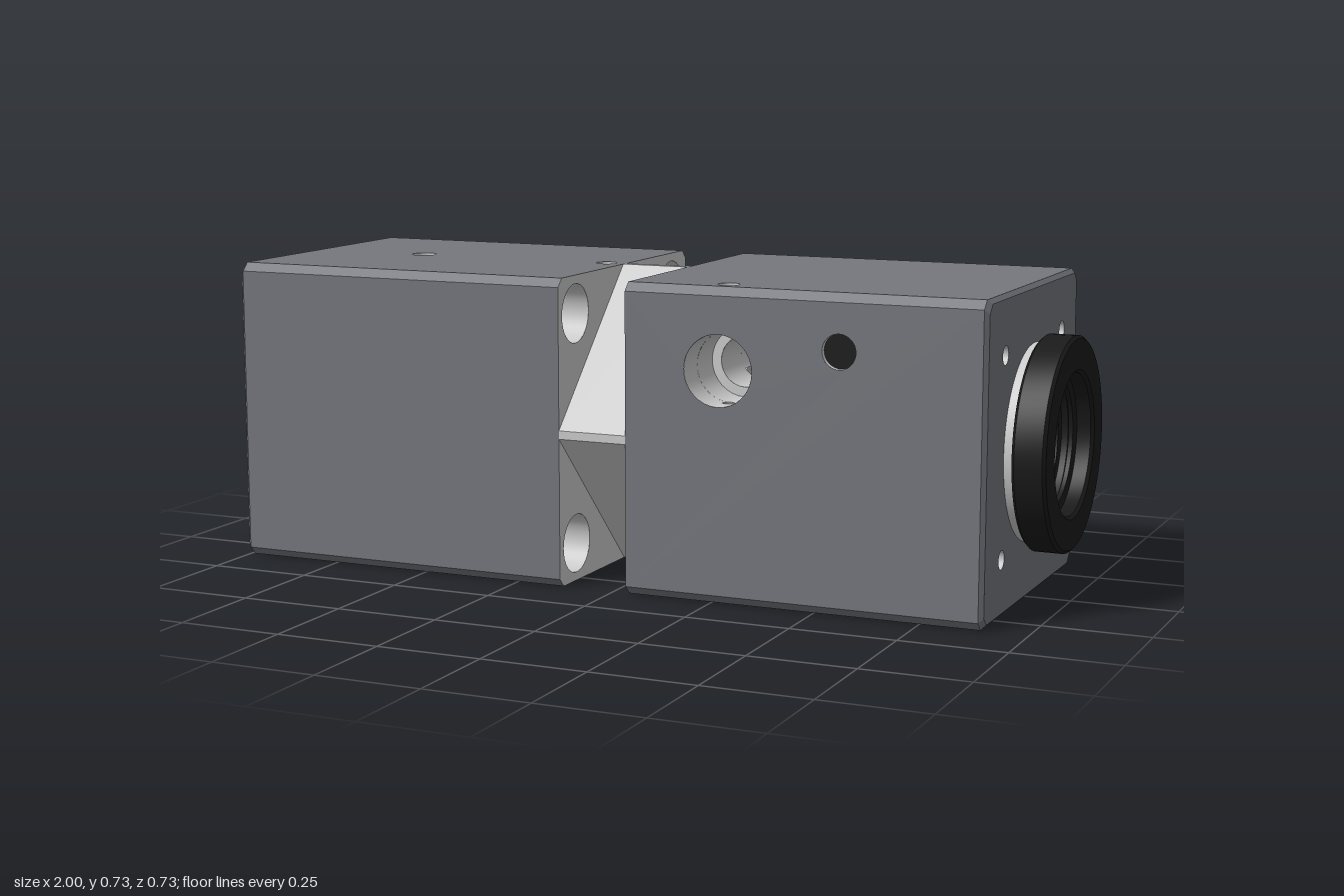
import * as THREE from 'three';
import { toCreasedNormals } from 'three/addons/utils/BufferGeometryUtils.js';

const H = 0.365;      // half width of the square housings
const C = 0.02;       // chamfer on the long edges
const BORE = 0.14;    // central bore radius
const PI = Math.PI;

const paint = (color) => new THREE.MeshStandardMaterial({ color, side: THREE.DoubleSide });
const dark = paint(0x75777d);
const light = paint(0xcccccc);
const black = paint(0x1a1a1a);

function add(parent, name, geometry, material) {
  const mesh = new THREE.Mesh(geometry, material);
  mesh.name = name;
  parent.add(mesh);
  return mesh;
}

// Square of half width h with corners cut by c, anticlockwise
const octagon = (h, c) => [
  [h, c - h], [h, h - c], [h - c, h], [c - h, h],
  [-h, h - c], [-h, c - h], [c - h, -h], [h - c, -h],
].map(([x, y]) => new THREE.Vector2(x, y));

// Flat outline with round holes given as [x, y, radius]
function drilled(points, holes) {
  const shape = new THREE.Shape(points);
  for (const [x, y, r] of holes) shape.holes.push(new THREE.Path().absarc(x, y, r, 0, 2 * PI, true));
  return shape;
}

// Turn a geometry made along y so that it runs along the given axis
function along(geometry, axis) {
  if (axis === 'x') geometry.rotateZ(-PI / 2);
  if (axis === 'z') geometry.rotateX(PI / 2);
  return geometry;
}

// Bore wall; gap = { from, to, angles, spread } leaves openings where another hole crosses it
function wall(parent, name, axis, r, from, to, pos, gap) {
  const piece = (a, b, start, length) => {
    const g = new THREE.CylinderGeometry(r, r, b - a, r > 0.1 ? 64 : 32, 1, true, start, length);
    g.translate(0, (a + b) / 2, 0);
    add(parent, name, along(g, axis), light).position.set(...pos);
  };
  if (!gap) return piece(from, to, 0, 2 * PI);
  piece(from, gap.from, 0, 2 * PI);
  piece(gap.to, to, 0, 2 * PI);
  gap.angles.forEach((angle, i) => {
    const next = i + 1 < gap.angles.length ? gap.angles[i + 1] : gap.angles[0] + 2 * PI;
    piece(gap.from, gap.to, angle + gap.spread, next - angle - 2 * gap.spread);
  });
}

// Flat ring or disc facing along an axis
function ring(parent, name, axis, inner, outer, pos, material = light) {
  const g = inner ? new THREE.RingGeometry(inner, outer, 48) : new THREE.CircleGeometry(outer, 32);
  g.rotateX(-PI / 2);
  add(parent, name, along(g, axis), material).position.set(...pos);
}

// Bevelled band joining two octagons
function band(xa, ha, xb, hb) {
  const a = octagon(ha, C), b = octagon(hb, C), pos = [];
  for (let i = 0; i < 8; i++) {
    const j = (i + 1) % 8;
    const p = (q, x) => [x, q.y, -q.x];
    const quad = [p(a[i], xa), p(a[j], xa), p(b[j], xb), p(b[i], xb)];
    for (const k of [0, 1, 2, 0, 2, 3]) pos.push(...quad[k]);
  }
  const g = new THREE.BufferGeometry();
  g.setAttribute('position', new THREE.Float32BufferAttribute(pos, 3));
  g.computeVertexNormals();
  return g;
}

// Housing from x0 to x1; sides = holes for top, front, bottom, back as
// [x, v, radius, depth, floor material]; outer = direction of the bevelled end
function housing(name, x0, x1, outer, sides, endHoles, innerHoles) {
  const group = new THREE.Group();
  group.name = name;
  const bevel = 0.01, w = H - C;
  const outerX = outer > 0 ? x1 : x0, innerX = outer > 0 ? x0 : x1;
  const a = outer > 0 ? x0 : x0 + bevel, b = outer > 0 ? x1 - bevel : x1;
  const rect = [[a, -w], [b, -w], [b, w], [a, w]].map((p) => new THREE.Vector2(...p));
  sides.forEach((holes, k) => {
    const side = new THREE.Group();
    side.name = ['top', 'front', 'bottom', 'back'][k] + 'Side';
    side.rotation.x = k * PI / 2;
    group.add(side);
    const panel = new THREE.ShapeGeometry(drilled(rect, holes), 24).rotateX(-PI / 2);
    add(side, 'sidePanel', panel.translate(0, H, 0), dark);
    const edge = new THREE.PlaneGeometry(b - a, C * Math.SQRT2).rotateX(-PI / 4);
    add(side, 'edgeChamfer', edge.translate((a + b) / 2, H - C / 2, H - C / 2), dark);
    for (const [x, v, r, depth, floor] of holes) {
      if (!depth) continue;
      wall(side, 'sideHole', 'y', r, H - depth, H, [x, 0, -v]);
      if (floor) ring(side, 'holeFloor', 'y', 0, r, [x, H - depth, -v], floor);
    }
  });
  add(group, 'endBevel', band(outerX - outer * bevel, H, outerX, H - bevel), dark);
  const end = (h, holes, x, dir, mat, label) => add(group, label,
    new THREE.ShapeGeometry(drilled(octagon(h, C), holes), 32).rotateY(dir * PI / 2).translate(x, 0, 0), mat);
  end(H - bevel, endHoles, outerX, outer, dark, 'outerEnd');
  end(H, innerHoles, innerX, -outer, light, 'innerEnd');
  return group;
}

const corners = (d, r) => [[d, d, r], [-d, d, r], [-d, -d, r], [d, -d, r]];

export function createModel() {
  const model = new THREE.Group();
  model.name = 'opticalHousing';
  const body = new THREE.Group();
  body.name = 'body';
  body.position.y = H;
  model.add(body);

  // Open housing with a wide bore and four bolt holes
  const bolts = corners(0.275, 0.07);
  const vent = [[-0.69, 0, 0.03, 0.1], [-0.18, 0, 0.025, 0.2, light]];
  const open = housing('openHousing', -1, -0.13, -1,
    [vent, [], vent, [[-0.18, 0, 0.025, 0.2, light]]],
    [[0, 0, 0.268], ...bolts], [[0, 0, BORE], ...bolts]);
  body.add(open);
  for (const [z, y, r] of bolts) wall(open, 'boltHole', 'x', r, -1, -0.13, [0, y, z]);
  wall(open, 'wideBore', 'x', 0.268, -1, -0.24, [0, 0, 0],
    { from: -0.72, to: -0.66, angles: [PI / 2, 1.5 * PI], spread: 0.112 });
  ring(open, 'boreStep', 'x', BORE, 0.268, [-0.24, 0, 0]);

  // Diamond-shaped neck between the housings
  const neck = new THREE.ExtrudeGeometry(drilled(octagon(H, H - 0.01), [[0, 0, BORE]]),
    { depth: 0.17, bevelEnabled: false, curveSegments: 32 });
  add(body, 'neck', neck.rotateY(PI / 2).translate(-0.13, 0, 0), light);

  // Closed housing with a cross hole, set screws and a locking pin hole
  const screws = corners(0.23, 0.022);
  const closed = housing('mountHousing', 0.04, 0.9, 1, [
    [[0.27, -0.3, 0.025, 0.02]],
    [[0.27, 0.175, 0.083], [0.56, 0.235, 0.04, 0.015, black]],
    [[0.27, 0.3, 0.012]],
    [[0.27, -0.175, 0.06], [0.56, -0.235, 0.037, 0.15, light]],
  ], [[0, 0, BORE], ...screws], [[0, 0, BORE]]);
  body.add(closed);
  for (const [z, y, r] of screws) {
    wall(closed, 'screwHole', 'x', r, 0.8, 0.9, [0, y, z]);
    ring(closed, 'screwHoleFloor', 'x', 0, r, [0.8, y, z]);
  }
  wall(closed, 'crossHole', 'z', 0.06, -H, 0.2, [0.27, 0.175, 0],
    { from: -0.08, to: 0.08, angles: [0], spread: 0.95 });
  wall(closed, 'counterbore', 'z', 0.083, 0.2, H, [0.27, 0.175, 0],
    { from: 0.288, to: 0.312, angles: [0, PI], spread: 0.145 });
  ring(closed, 'counterboreStep', 'z', 0.06, 0.083, [0.27, 0.175, 0.2]);
  ring(closed, 'pinHoleStep', 'y', 0.012, 0.025, [0.27, H - 0.02, 0.3]);
  wall(closed, 'pinHole', 'y', 0.012, 0.257, H - 0.02, [0.27, 0, 0.3]);
  wall(closed, 'pinHole', 'y', 0.012, -H, 0.093, [0.27, 0, 0.3]);

  // Central bore through neck and mount housing
  wall(body, 'centralBore', 'x', BORE, -0.24, 0.8, [0, 0, 0],
    { from: 0.21, to: 0.33, angles: [1.5 * PI], spread: 0.607 });

  // Light collar and black threaded ring on the end
  wall(body, 'collar', 'x', 0.23, 0.9, 0.922, [0, 0, 0]);
  const profile = [[0.14, 0.922], [0.243, 0.922], [0.25, 0.929], [0.25, 0.993], [0.243, 1],
    [0.172, 1], [0.165, 0.993], [0.165, 0.96]];
  for (let i = 0; i < 4; i++) {
    const x = 0.955 - i * 0.035;
    profile.push([0.148, x], [0.148, x - 0.01], [0.16, x - 0.015], [0.16, x - 0.03]);
  }
  profile.push([0.135, 0.815], [0.135, 0.8], [0.14, 0.8]);
  const lathe = new THREE.LatheGeometry(profile.map((p) => new THREE.Vector2(...p)), 72);
  // The first profile point sits behind the thread, closing the ring's back face
  add(body, 'threadedRing', toCreasedNormals(along(lathe, 'x'), 0.5), black);

  return model;
}
